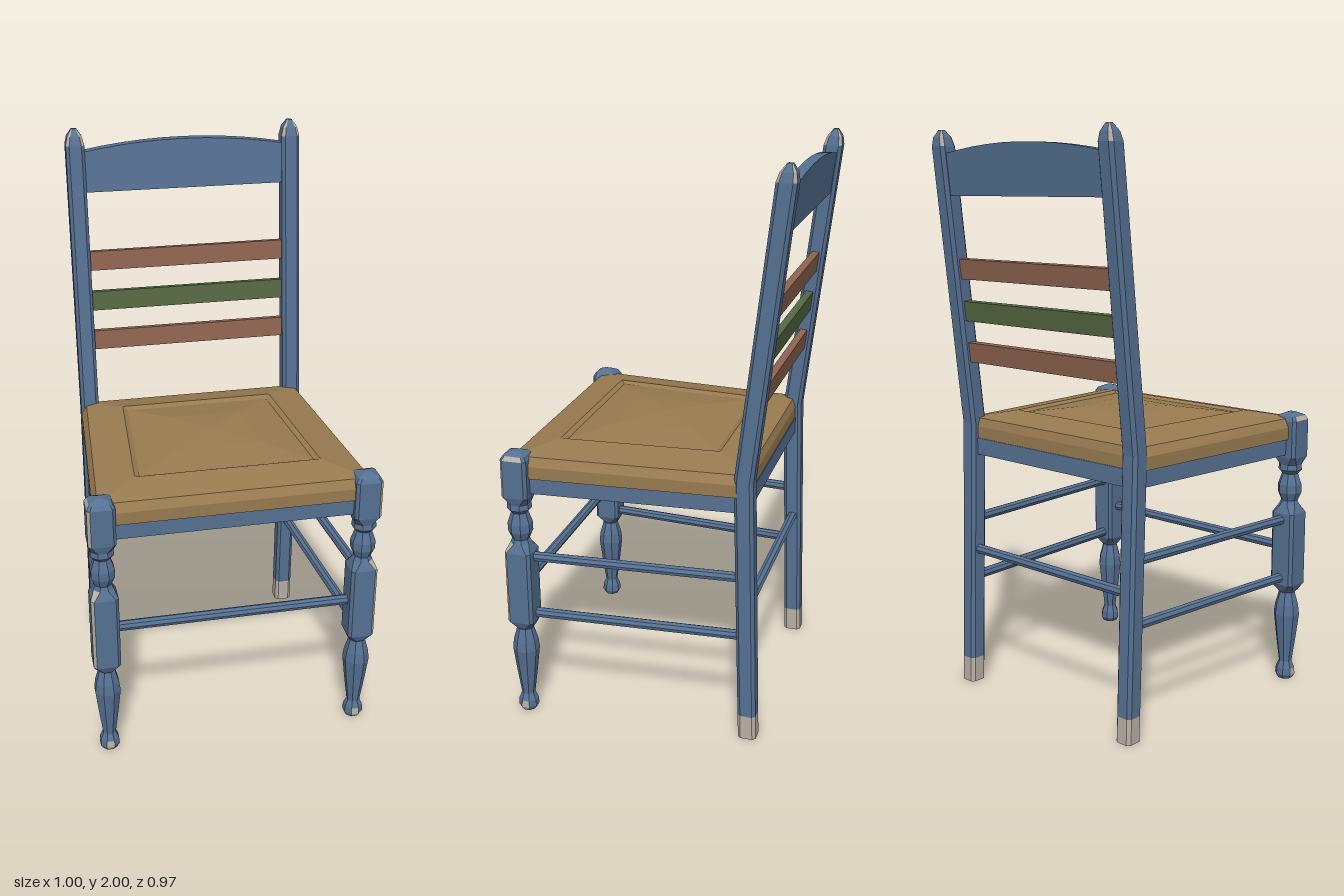
import * as THREE from 'three';

const paint = (name, color) => {
  const m = new THREE.MeshStandardMaterial({ color });
  m.name = name;
  return m;
};

// Skins a stack of equal-length rings (each running +x towards +z) with flat facets and end caps.
// pick(segment, facet) returns the material index of a facet.
function loft(rings, materials, name, pick = () => 0) {
  const buckets = materials.map(() => []);
  const n = rings[0].length;
  const tri = (m, ...pts) => pts.forEach((p) => buckets[m].push(...p));
  const middle = (ring) => [0, 1, 2].map((k) => ring.reduce((s, p) => s + p[k], 0) / n);
  const low = rings[0], high = rings[rings.length - 1];
  const lowMid = middle(low), highMid = middle(high);
  for (let j = 0; j < n; j++) {
    const k = (j + 1) % n;
    for (let i = 0; i < rings.length - 1; i++) {
      const m = pick(i, j), a = rings[i], b = rings[i + 1];
      tri(m, a[j], b[j], a[k]);
      tri(m, a[k], b[j], b[k]);
    }
    tri(pick(0, j), lowMid, low[j], low[k]);
    tri(0, highMid, high[k], high[j]);
  }
  const geo = new THREE.BufferGeometry();
  geo.setAttribute('position', new THREE.Float32BufferAttribute(buckets.flat(), 3));
  let start = 0;
  buckets.forEach((b, m) => {
    if (b.length) geo.addGroup(start, b.length / 3, m);
    start += b.length / 3;
  });
  geo.computeVertexNormals();
  const mesh = new THREE.Mesh(geo, materials);
  mesh.name = name;
  return mesh;
}

// Square of half width h with corners cut by c
function octagon(x, y, z, h, c) {
  const d = h - c;
  return [[h, -d], [h, d], [d, h], [-d, h], [-h, d], [-h, -d], [-d, -h], [d, -h]]
    .map(([px, pz]) => [x + px, y, z + pz]);
}

// Trapezoid, wider at the front
const trapezoid = (y, xf, zf, xb, zb) => [[xb, y, zb], [xf, y, zf], [-xf, y, zf], [-xb, y, zb]];

// Centre line of the back posts above the seat
const postZ = (y) => -0.34 - (y - 0.97) * 0.114;

export function createModel() {
  const chair = new THREE.Group();
  chair.name = 'chair';
  const blue = paint('blue paint', 0x567193);
  const pale = paint('worn pale wood', 0xb9b0a5);
  const rush = paint('woven rush', 0x987b50);
  const red = paint('terracotta paint', 0x8e6450);
  const green = paint('green paint', 0x566842);

  const add = (geo, mat, name) => {
    const mesh = new THREE.Mesh(geo, mat);
    mesh.name = name;
    chair.add(mesh);
    return mesh;
  };

  // Turned front legs: [y, half width, is square block]
  const turning = [
    [0, 0.026], [0.015, 0.034], [0.04, 0.032], [0.065, 0.022], [0.16, 0.034], [0.25, 0.044],
    [0.285, 0.04], [0.335, 0.027], [0.345, 0.036], [0.37, 0.047, 1], [0.64, 0.047, 1],
    [0.67, 0.034], [0.685, 0.028], [0.715, 0.04], [0.745, 0.04], [0.785, 0.027], [0.8, 0.04],
    [0.82, 0.038], [0.85, 0.047, 1], [0.985, 0.047, 1], [1.0, 0.038, 1], [1.012, 0.012, 1],
  ];
  const last = turning.length - 1;
  for (const s of [1, -1]) {
    const side = s > 0 ? 'left' : 'right';
    const outer = s > 0 ? 0 : 4, outerCorner = s > 0 ? 1 : 3;
    const rings = turning.map(([y, h, block]) =>
      octagon(s * 0.452, y, 0.437, h, h * (block ? 0.22 : 0.586)));
    chair.add(loft(rings, [blue, pale], side + 'FrontLeg', (i, j) => {
      const foot = i < 2 && (j === 2 || j === outer);
      const edge = turning[i][2] && i < last - 2 && j === outerCorner;
      const top = i === last - 2 && j === outer;
      return foot || edge || top ? 1 : 0;
    }));
  }

  // Raked back posts with worn feet and finials
  const post = [
    [0, 0.032, -0.37], [0.09, 0.032, -0.367], [0.97, 0.033, postZ(0.97)],
    [1.945, 0.033, postZ(1.945)], [1.975, 0.026, postZ(1.975)], [2.0, 0.009, postZ(2)],
  ];
  for (const s of [1, -1]) {
    const rings = post.map(([y, h, z]) => octagon(s * 0.392, y, z, h, h * 0.35));
    chair.add(loft(rings, [blue, pale], (s > 0 ? 'left' : 'right') + 'BackPost',
      (i, j) => (i === 0 || (i > 2 && j % 2 === 1) ? 1 : 0)));
  }

  // Crest rail with an arched top, leaning with the posts
  const arch = new THREE.Shape();
  arch.moveTo(-0.37, 1.78).lineTo(0.37, 1.78).lineTo(0.37, 1.92);
  for (let i = 1; i <= 10; i++) {
    const x = 0.37 - 0.074 * i;
    arch.lineTo(x, 1.953 - 0.033 * (x / 0.37) ** 2);
  }
  const crest = new THREE.ExtrudeGeometry(arch, { depth: 0.038, bevelEnabled: false });
  const cp = crest.attributes.position;
  for (let i = 0; i < cp.count; i++) cp.setZ(i, cp.getZ(i) - 0.019 + postZ(cp.getY(i)));
  crest.computeVertexNormals();
  add(crest, blue, 'crestRail');

  // Coloured back slats
  [[1.235, red], [1.382, green], [1.53, red]].forEach(([y, mat], i) => {
    const slat = add(new THREE.BoxGeometry(0.74, 0.07, 0.026), mat, 'backSlat' + (i + 1));
    slat.position.set(0, y, postZ(y));
    slat.rotation.x = -Math.atan(0.114);
  });

  // Rush seat: rim, sloping border, shallow groove and low pyramid
  chair.add(loft([
    trapezoid(0.918, 0.478, 0.468, 0.422, -0.352),
    trapezoid(0.962, 0.478, 0.468, 0.422, -0.352),
    trapezoid(0.992, 0.46, 0.45, 0.404, -0.342),
    trapezoid(1.016, 0.32, 0.33, 0.28, -0.227),
    trapezoid(1.007, 0.302, 0.313, 0.263, -0.208),
    trapezoid(1.026, 0.15, 0.185, 0.13, -0.08),
    trapezoid(1.035, 0.01, 0.06, 0.01, 0.04),
  ], [rush], 'seat'));

  // Apron frame beneath the seat
  const outline = (xf, zf, xb, zb) => [[-xf, -zf], [xf, -zf], [xb, -zb], [-xb, -zb]]
    .map(([x, y]) => new THREE.Vector2(x, y));
  const frame = new THREE.Shape(outline(0.468, 0.458, 0.412, -0.355));
  frame.holes.push(new THREE.Path(outline(0.425, 0.418, 0.37, -0.318).reverse()));
  const apron = new THREE.ExtrudeGeometry(frame, { depth: 0.06, bevelEnabled: false });
  apron.rotateX(-Math.PI / 2).translate(0, 0.86, 0);
  add(apron, blue, 'apron');

  // Stretchers between the legs
  const up = new THREE.Vector3(0, 1, 0);
  const stretcher = (a, b, name) => {
    const from = new THREE.Vector3(...a), to = new THREE.Vector3(...b);
    const dir = to.clone().sub(from);
    const geo = new THREE.CylinderGeometry(0.018, 0.018, dir.length(), 8).toNonIndexed();
    geo.computeVertexNormals();
    const rod = add(geo, blue, name);
    rod.position.copy(from).add(to).multiplyScalar(0.5);
    rod.quaternion.setFromUnitVectors(up, dir.normalize());
  };
  stretcher([-0.44, 0.505, 0.437], [0.44, 0.505, 0.437], 'frontStretcher');
  stretcher([-0.38, 0.505, -0.355], [0.38, 0.505, -0.355], 'backStretcher');
  for (const s of [1, -1]) {
    const side = s > 0 ? 'left' : 'right';
    stretcher([s * 0.448, 0.615, 0.42], [s * 0.393, 0.615, -0.35], side + 'UpperStretcher');
    stretcher([s * 0.448, 0.395, 0.42], [s * 0.393, 0.395, -0.357], side + 'LowerStretcher');
  }
  return chair;
}
